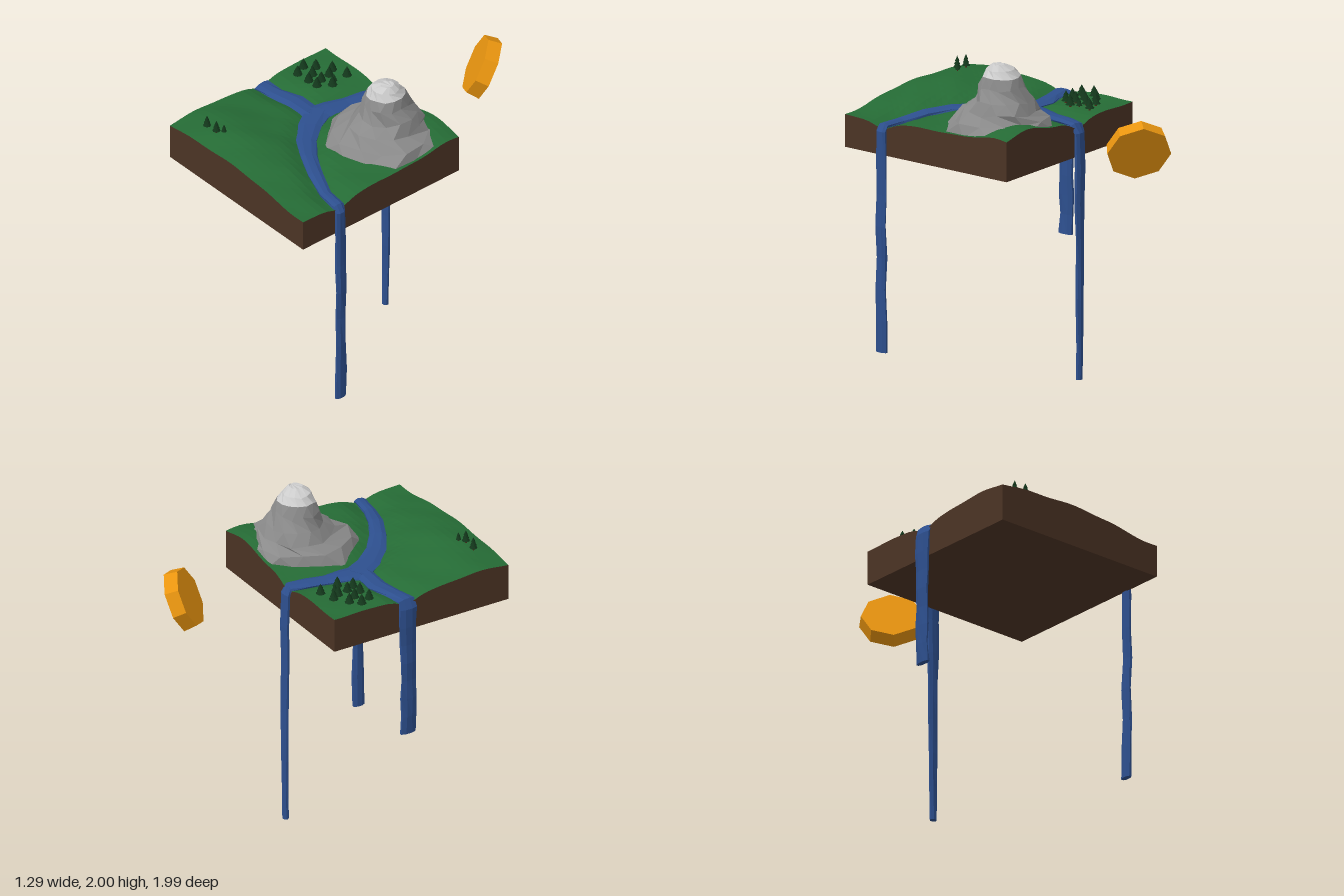
import * as THREE from 'three';

const mat = (color, extra = {}) => new THREE.MeshStandardMaterial({ color, flatShading: true, roughness: 1, ...extra });
const grass = mat(0x256b35), soil = mat(0x4b3324), water = mat(0x2d4f8e), rock = mat(0x8a8a8a),
  snow = mat(0xc4c4c4), leaf = mat(0x12351a), bark = mat(0x4a2a18), gold = mat(0xe8940f);

let seed = 7;
const rnd = (a = -1, b = 1) => {
  seed = (seed * 16807) % 2147483647;
  return a + (b - a) * (seed / 2147483647);
};

const X = 0.61, Z0 = -0.22, Z1 = 1.0, BOTTOM = 1.38;

// River courses as [x, z, half width]; each runs from the fork to an edge
const courses = [
  { name: 'backRiver', pts: [[-0.17, 0.27, 0.08], [-0.16, 0.14, 0.075], [-0.135, 0.02, 0.055], [-0.11, -0.1, 0.05], [-0.08, -0.21, 0.045]],
    out: [0, -1], end: 0, endWidth: 0.022 },
  { name: 'rightRiver', pts: [[-0.13, 0.25, 0.06], [-0.35, 0.245, 0.065], [-0.48, 0.275, 0.055], [-0.6, 0.29, 0.055]],
    out: [-1, 0], end: 0.685, endWidth: 0.048 },
  { name: 'leftRiver', pts: [[-0.18, 0.2, 0.08], [-0.1, 0.34, 0.08], [0.01, 0.46, 0.065], [0.14, 0.555, 0.055], [0.3, 0.635, 0.045], [0.46, 0.695, 0.035], [0.6, 0.715, 0.035]],
    out: [1, 0], end: 0.16, endWidth: 0.038 },
];

function riverDistance(x, z) {
  let best = 9;
  for (const { pts } of courses)
    for (let i = 1; i < pts.length; i++) {
      const [ax, az] = pts[i - 1], [bx, bz] = pts[i], dx = bx - ax, dz = bz - az;
      const t = THREE.MathUtils.clamp(((x - ax) * dx + (z - az) * dz) / (dx * dx + dz * dz), 0, 1);
      best = Math.min(best, Math.hypot(x - ax - t * dx, z - az - t * dz));
    }
  return best;
}

const bump = (x, z, cx, cz, sx, sz) => Math.exp(-((x - cx) ** 2) / sx - ((z - cz) ** 2) / sz);

// Ground height: a front hill, a rise under the mountain and carved river beds
function ground(x, z) {
  return 1.598 + 0.075 * bump(x, z, -0.24, 0.8, 0.16, 0.06) + 0.07 * bump(x, z, 0.42, -0.14, 0.06, 0.035)
    + 0.02 * bump(x, z, 0.2, 0.25, 0.1, 0.1) + 0.02 * bump(x, z, 0.1, 1, 0.06, 0.1)
    - 0.018 * THREE.MathUtils.smoothstep(x, 0.2, 0.6) * THREE.MathUtils.smoothstep(z, 0.3, 0.9)
    + 0.004 * Math.sin(x * 17 + z * 9) * Math.cos(z * 13)
    - 0.045 * Math.exp(-((riverDistance(x, z) / 0.09) ** 2));
}

// Closed surface through rings that run counter-clockwise about the travel direction
function loft(rings) {
  const n = rings[0].length, pos = [], idx = [];
  rings.forEach(r => r.forEach(p => pos.push(p.x, p.y, p.z)));
  for (let i = 0; i < rings.length - 1; i++)
    for (let j = 0; j < n; j++) {
      const a = i * n + j, b = i * n + (j + 1) % n;
      idx.push(a, b, a + n, b, b + n, a + n);
    }
  const last = (rings.length - 1) * n;
  for (let j = 1; j < n - 1; j++) idx.push(0, j + 1, j, last, last + j, last + j + 1);
  const g = new THREE.BufferGeometry();
  g.setAttribute('position', new THREE.Float32BufferAttribute(pos, 3));
  g.setIndex(idx);
  g.computeVertexNormals();
  return g;
}

function add(parent, name, geometry, material) {
  const m = new THREE.Mesh(geometry, material);
  m.name = name;
  parent.add(m);
  return m;
}

// River bed water and its waterfall, one flattened swept body
function riverGeometry({ pts, out, end, endWidth }) {
  const path = pts.map(([x, z, w]) => [new THREE.Vector3(x, ground(x, z) + 0.016, z), w]);
  const [lx, lz, lw] = pts[pts.length - 1], top = 1.53;
  const ox = out[0] ? out[0] * (X + 0.008) : lx, oz = out[1] ? Z0 - 0.012 : lz;
  const steps = 7;
  for (let i = 0; i <= steps; i++) {
    const t = i / steps, sway = i && i < steps ? rnd(0, 0.008) : 0;
    path.push([new THREE.Vector3(ox + out[0] * sway, top + (end - top) * t, oz + out[1] * sway),
      (lw + (endWidth - lw) * t) * rnd(0.94, 1.06)]);
  }
  const side = new THREE.Vector3();
  return loft(path.map(([p, w], i) => {
    const a = path[Math.max(i - 1, 0)][0], b = path[Math.min(i + 1, path.length - 1)][0];
    const t = b.clone().sub(a).normalize();
    if (Math.hypot(t.x, t.z) > 0.3) side.set(t.z, 0, -t.x).normalize();
    if (i >= pts.length) { side.set(out[1], 0, -out[0]); t.set(0, -1, 0); }
    const up = t.clone().cross(side).normalize();
    return Array.from({ length: 8 }, (_, k) => {
      const ang = (k + 0.5) * Math.PI / 4, j = i === path.length - 1 ? 1 : rnd(0.85, 1.1);
      return p.clone().addScaledVector(side, Math.cos(ang) * w * 1.08 * j).addScaledVector(up, Math.sin(ang) * 0.019 * j);
    });
  }));
}

function tree(x, z, h, r) {
  const g = new THREE.Group();
  g.name = 'tree';
  const trunk = add(g, 'trunk', new THREE.CylinderGeometry(r * 0.22, r * 0.28, h * 0.4, 6), bark);
  trunk.position.y = h * 0.18;
  for (let i = 0; i < 3; i++) {
    const cone = add(g, 'foliage', new THREE.ConeGeometry(r * (1 - i * 0.22), h * 0.38, 8), leaf);
    cone.position.y = h * (0.39 + i * 0.21);
    cone.rotation.y = i * 0.4;
  }
  g.position.set(x, ground(x, z) - 0.003, z);
  return g;
}

export function createModel() {
  const model = new THREE.Group();
  model.name = 'floatingLandscape';
  const cz = (Z0 + Z1) / 2, depth = Z1 - Z0, seg = 26;

  // Grass surface
  const land = new THREE.PlaneGeometry(2 * X, depth, seg, seg).rotateX(-Math.PI / 2).translate(0, 0, cz);
  const lp = land.attributes.position;
  for (let i = 0; i < lp.count; i++) lp.setY(i, ground(lp.getX(i), lp.getZ(i)));
  land.computeVertexNormals();
  add(model, 'grass', land, grass);

  // Soil block whose upper rim follows the grass
  const block = new THREE.BoxGeometry(2 * X, 1, depth, seg, 1, seg).translate(0, 0, cz);
  const bp = block.attributes.position;
  for (let i = 0; i < bp.count; i++) {
    const x = bp.getX(i), z = bp.getZ(i);
    const rim = Math.abs(x) > X - 0.001 || z < Z0 + 0.001 || z > Z1 - 0.001;
    bp.setY(i, bp.getY(i) < 0 ? BOTTOM : ground(x, z) - (rim ? 0 : 0.02));
  }
  block.computeVertexNormals();
  add(model, 'soil', block, soil);

  // Rivers with waterfalls
  for (const c of courses) add(model, c.name, riverGeometry(c), water);

  // Mountain as rough rings [radius, y, centre x, centre z, jitter]; the top ones form the snow cap
  const rings = [
    [0.345, 1.585, 0.27, 0.11, 0.16], [0.29, 1.655, 0.275, 0.09, 0.1], [0.225, 1.71, 0.275, 0.07, 0.08],
    [0.175, 1.775, 0.275, 0.06, 0.07], [0.14, 1.85, 0.28, 0.065, 0.06], [0.115, 1.91, 0.28, 0.07, 0.05],
    [0.085, 1.96, 0.285, 0.075, 0.06], [0.04, 1.992, 0.305, 0.08, 0.1],
  ].map(([r, y, x, z, j], i) => Array.from({ length: 13 }, (_, k) => {
    const a = (k + (i % 2) * 0.5) / 13 * Math.PI * 2, rr = r * (1 + rnd(-j, j));
    const px = Math.min(x + Math.cos(a) * rr, 0.6), pz = Math.max(z - Math.sin(a) * rr, -0.205);
    return new THREE.Vector3(px, i === 0 ? ground(px, pz) - 0.015 : Math.min(y + rnd() * (i < 6 ? 0.014 : 0.006), 2), pz);
  }));
  add(model, 'mountain', loft(rings.slice(0, 6)), rock);
  add(model, 'snowCap', loft(rings.slice(5)), snow);

  // Front trees and back grove
  const front = [[-0.41, 0.88, 0.088], [-0.325, 0.88, 0.088], [-0.29, 0.85, 0.06]];
  const grove = [[-0.31, -0.13], [-0.41, -0.1], [-0.49, -0.04], [-0.38, -0.05], [-0.325, -0.04, 0.055], [-0.29, 0],
    [-0.54, 0.015], [-0.45, 0.02], [-0.37, 0.02], [-0.51, 0.085], [-0.415, 0.08], [-0.345, 0.075]];
  for (const [x, z, h] of front) model.add(tree(x, z, h, h * 0.28));
  for (const [x, z, h = 0.08] of grove) model.add(tree(x, z, h, h * 0.37));

  // Faceted sun disc behind the land
  const sun = add(model, 'sun', new THREE.CylinderGeometry(0.195, 0.185, 0.085, 8), gold);
  sun.quaternion.setFromUnitVectors(new THREE.Vector3(0, 1, 0), new THREE.Vector3(0.6, -0.42, -0.68).normalize());
  sun.position.set(0.112, 1.58, -0.825);
  return model;
}
